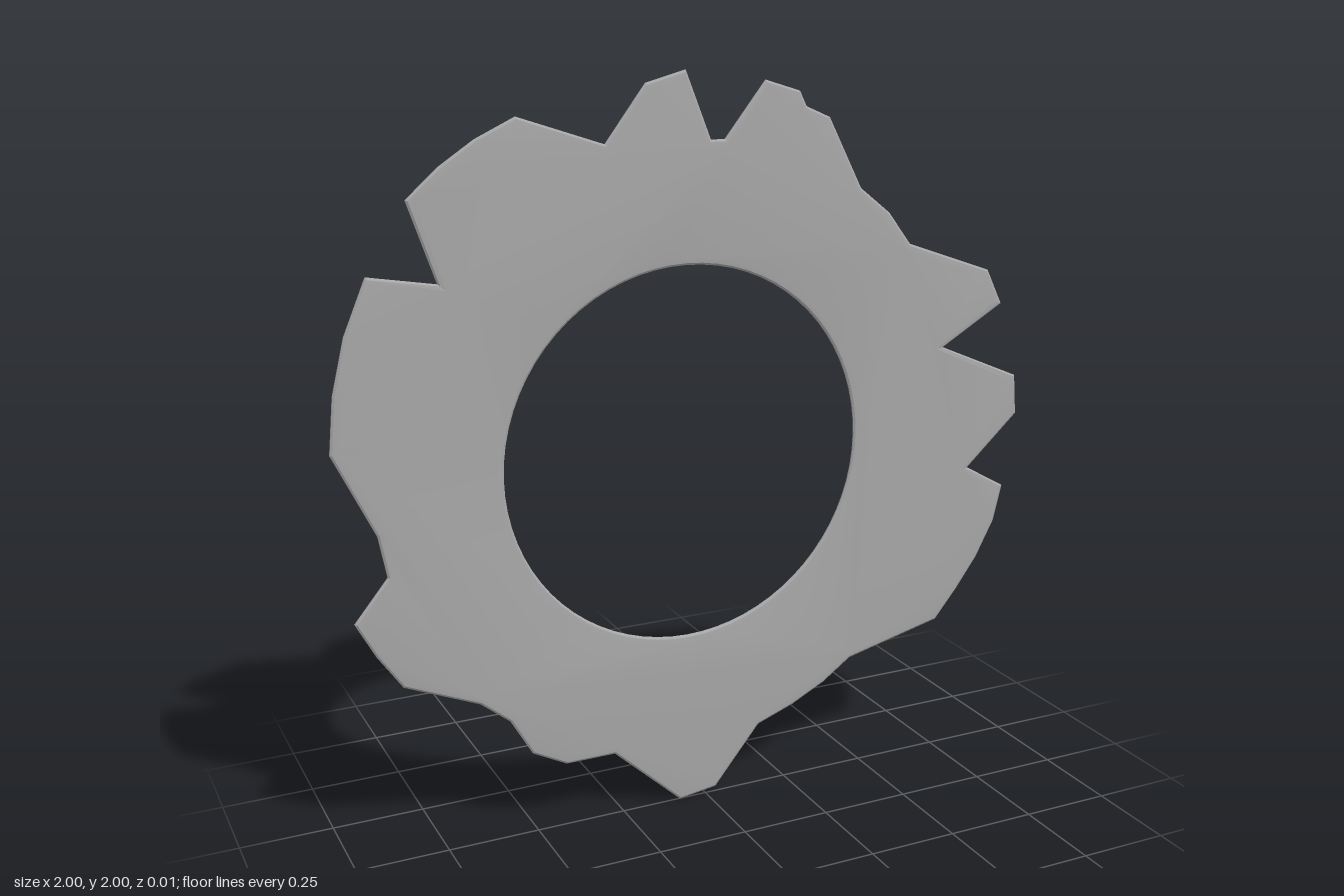
import * as THREE from 'three';
import { toCreasedNormals } from 'three/addons/utils/BufferGeometryUtils.js';

// Jagged outer outline, clockwise from the top tooth
const OUTLINE = [
  [-0.165, 1.97], [-0.055, 2.0], [0.015, 1.825], [0.055, 1.825], [0.17, 1.97], [0.27, 1.94],
  [0.29, 1.9], [0.36, 1.87], [0.46, 1.68], [0.55, 1.61], [0.62, 1.52], [0.88, 1.43],
  [0.93, 1.33], [0.74, 1.22], [0.99, 1.115], [1.0, 1.0], [0.84, 0.855], [0.965, 0.785],
  [0.94, 0.68], [0.885, 0.575], [0.82, 0.485], [0.75, 0.4], [0.46, 0.33], [0.375, 0.27],
  [0.275, 0.22], [0.165, 0.18], [0.03, 0.015], [-0.08, 0.0], [-0.275, 0.18], [-0.415, 0.18],
  [-0.51, 0.23], [-0.57, 0.335], [-0.65, 0.4], [-0.85, 0.485], [-0.915, 0.58], [-0.965, 0.675],
  [-0.875, 0.785], [-0.895, 0.895], [-1.0, 1.115], [-0.985, 1.26], [-0.95, 1.4], [-0.89, 1.54],
  [-0.715, 1.51], [-0.785, 1.715], [-0.7, 1.79], [-0.61, 1.85], [-0.505, 1.9], [-0.275, 1.825],
];
const HOLE = { x: -0.055, y: 1.0, radius: 0.51 };
const EDGE = 0.004;   // thickness left at the rim
const BEVEL = 0.005;  // rise of each face above the rim

export function createModel() {
  const steel = new THREE.MeshStandardMaterial({ color: 0xa8a8a8 });
  steel.name = 'grey steel';

  // Toothed plate with a round opening
  const shape = new THREE.Shape(OUTLINE.map(([x, y]) => new THREE.Vector2(x, y)));
  const hole = new THREE.Path();
  hole.absarc(HOLE.x, HOLE.y, HOLE.radius, 0, Math.PI * 2, false);
  shape.holes.push(hole);

  // Both faces taper to a thin edge around the teeth and the opening
  const geometry = new THREE.ExtrudeGeometry(shape, {
    depth: EDGE,
    curveSegments: 36,
    bevelEnabled: true,
    bevelThickness: BEVEL,
    bevelSize: 0.018,
    bevelOffset: -0.018,
    bevelSegments: 2,
  });
  geometry.translate(0, 0, -EDGE / 2);

  const blade = new THREE.Mesh(toCreasedNormals(geometry, 0.15), steel);
  blade.name = 'toothedRingBlade';

  const group = new THREE.Group();
  group.name = 'jaggedRing';
  group.add(blade);
  return group;
}
